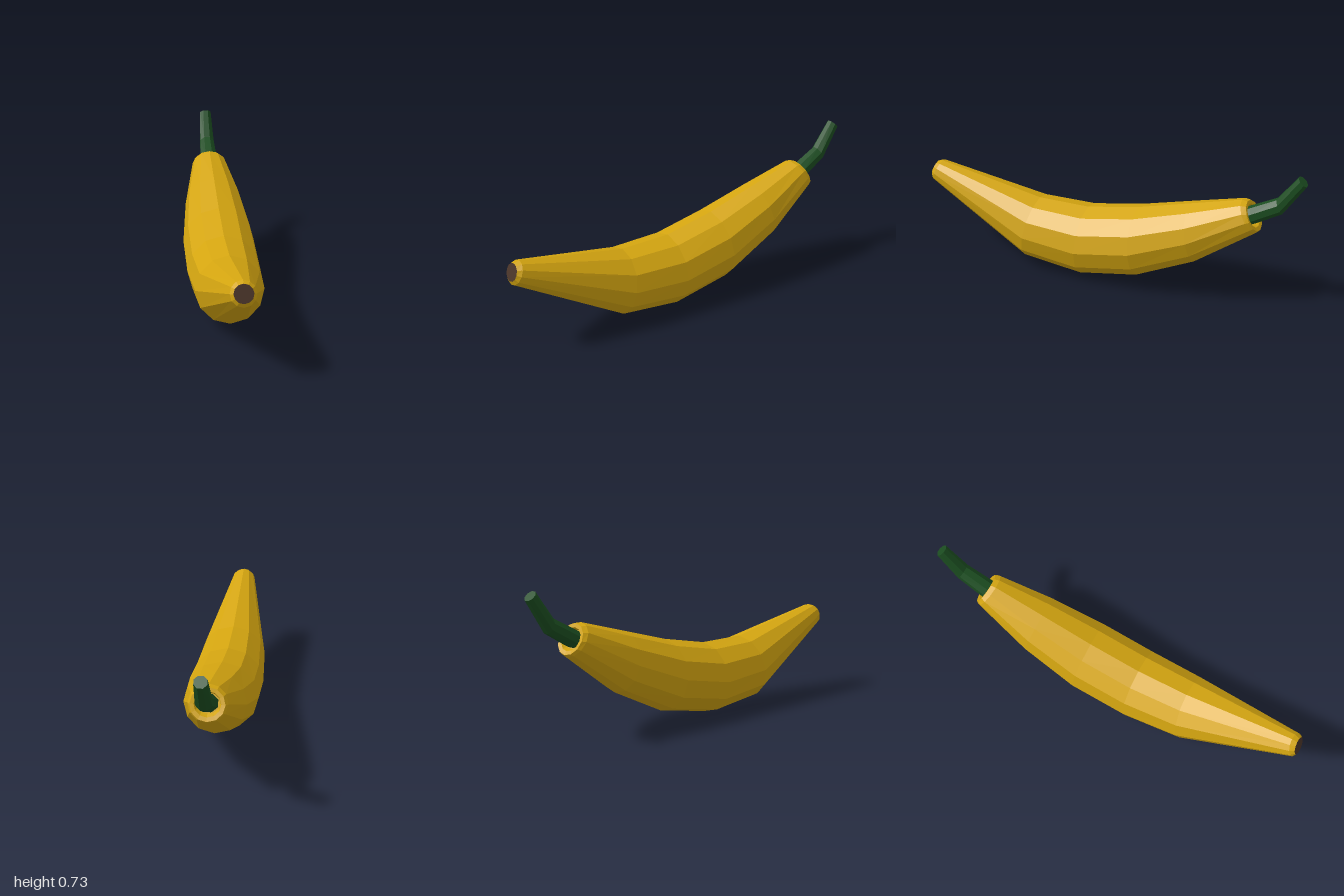
import * as THREE from 'three';

// Skin a run of elliptical rings listed front to back.
// Each ring: [zTop, yTop, zBottom, yBottom, halfWidth]; a zero-size ring closes an end.
function loft(rings, sides, offset = 0) {
  const point = ([zt, yt, zb, yb, w], j) => {
    const a = ((j + offset) / sides) * Math.PI * 2;
    const c = Math.cos(a) / 2;
    return new THREE.Vector3(
      Math.sin(a) * w,
      (yt + yb) / 2 + (yt - yb) * c,
      (zt + zb) / 2 + (zt - zb) * c
    );
  };
  const positions = [];
  for (let i = 0; i < rings.length - 1; i++) {
    for (let j = 0; j < sides; j++) {
      const a = point(rings[i], j), b = point(rings[i], j + 1);
      const c = point(rings[i + 1], j), d = point(rings[i + 1], j + 1);
      if (rings[i][4] > 0) positions.push(...a, ...b, ...c);
      if (rings[i + 1][4] > 0) positions.push(...b, ...d, ...c);
    }
  }
  const geometry = new THREE.BufferGeometry();
  geometry.setAttribute('position', new THREE.Float32BufferAttribute(positions, 3));
  geometry.computeVertexNormals();
  return geometry;
}

// Centre point of a ring, used to close it with a flat fan
const centre = ([zt, yt, zb, yb]) => {
  const z = (zt + zb) / 2, y = (yt + yb) / 2;
  return [z, y, z, y, 0];
};

export function createModel() {
  const group = new THREE.Group();
  const add = (name, geometry, color) => {
    const mesh = new THREE.Mesh(
      geometry,
      new THREE.MeshStandardMaterial({ color, flatShading: true })
    );
    mesh.name = name;
    group.add(mesh);
  };

  // Curved peel, ending in a bevelled lip with a shallow recess for the stem
  const tipRing = [0.972, 0.465, 1.0, 0.382, 0.045];
  const recess = [-0.708, 0.53, -0.752, 0.447, 0.056];
  add('peel', loft([
    tipRing,
    [0.943, 0.472, 0.993, 0.362, 0.06],
    [0.38, 0.366, 0.44, 0.038, 0.166],
    [0.11, 0.366, 0.12, 0.003, 0.183],
    [-0.16, 0.418, -0.19, 0.06, 0.183],
    [-0.43, 0.493, -0.49, 0.2, 0.151],
    [-0.69, 0.565, -0.78, 0.412, 0.092],
    [-0.718, 0.562, -0.79, 0.423, 0.081],
    [-0.725, 0.545, -0.778, 0.44, 0.062],
    recess,
    centre(recess),
  ], 12), 0xd4a510);

  // Dark blossom end
  add('tip', loft([centre(tipRing), tipRing], 12), 0x4a3428);

  // Bent, tapering stem
  const stemEnd = [-0.955, 0.736, -1.0, 0.694, 0.032];
  add('stem', loft([
    [-0.695, 0.52, -0.735, 0.442, 0.05],
    [-0.735, 0.54, -0.775, 0.462, 0.048],
    [-0.86, 0.606, -0.895, 0.533, 0.041],
    stemEnd,
    centre(stemEnd),
  ], 8, 0.5), 0x1b4d20);

  return group;
}
